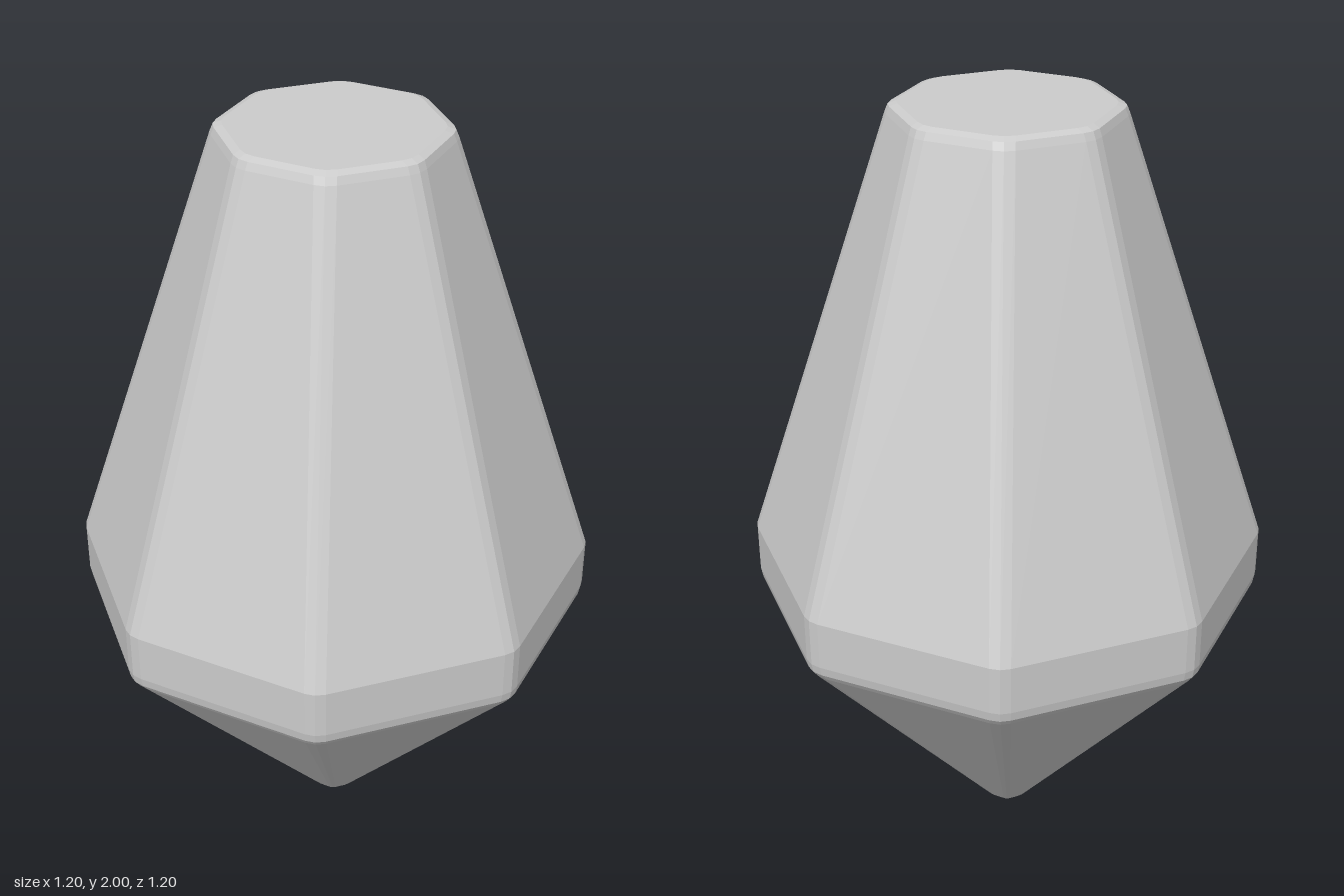
import * as THREE from 'three';

const SIDES = 8;
const PER_RING = SIDES * 3;

// Octagon with softened corners; a = distance from the axis to a flat side.
function ring(a, y) {
  const half = a * Math.tan(Math.PI / SIDES);
  const cut = Math.min(0.027, half * 0.4);
  const points = [];
  for (let i = 0; i < SIDES; i++) {
    const t = (i / SIDES) * Math.PI * 2;
    const at = (angle, along) => new THREE.Vector3(
      Math.sin(angle) * a + Math.cos(angle) * along, y,
      Math.cos(angle) * a - Math.sin(angle) * along);
    const corner = at(t, half);
    const before = at(t, half - cut);
    const after = at(t + Math.PI * 2 / SIDES, cut - half);
    const middle = before.clone().add(after).multiplyScalar(0.25).addScaledVector(corner, 0.5);
    points.push(before, middle, after);
  }
  return points;
}

export function createModel() {
  // Rings from the bottom point to the flat top: [side distance, height]
  const profile = [
    [0.03, 0.02], [0.056, 0.044],              // blunted point
    [0.584, 0.72], [0.596, 0.738], [0.6, 0.762], // lower girdle bevel
    [0.6, 0.885],                              // girdle band
    [0.263, 1.975], [0.256, 1.993], [0.238, 2], // top rim bevel
  ];
  const positions = [];
  const push = (p) => positions.push(p.x, p.y, p.z);
  for (const [a, y] of profile) ring(a, y).forEach(push);
  const tip = positions.length / 3;
  push(new THREE.Vector3(0, 0, 0));
  push(new THREE.Vector3(0, 2, 0));

  const index = [];
  const last = (profile.length - 1) * PER_RING;
  for (let i = 0; i < PER_RING; i++) {
    const j = (i + 1) % PER_RING;
    index.push(tip, j, i, tip + 1, last + i, last + j);
    for (let r = 0; r < last; r += PER_RING) {
      index.push(r + i, r + j, r + PER_RING + j, r + i, r + PER_RING + j, r + PER_RING + i);
    }
  }
  const indexed = new THREE.BufferGeometry();
  indexed.setAttribute('position', new THREE.Float32BufferAttribute(positions, 3));
  indexed.setIndex(index);
  const geometry = indexed.toNonIndexed();
  geometry.computeVertexNormals();

  const crystal = new THREE.Mesh(geometry,
    new THREE.MeshStandardMaterial({ color: 0xcccccc, flatShading: true }));
  crystal.name = 'crystal';
  const group = new THREE.Group();
  group.name = 'facetedCrystal';
  group.add(crystal);
  return group;
}
